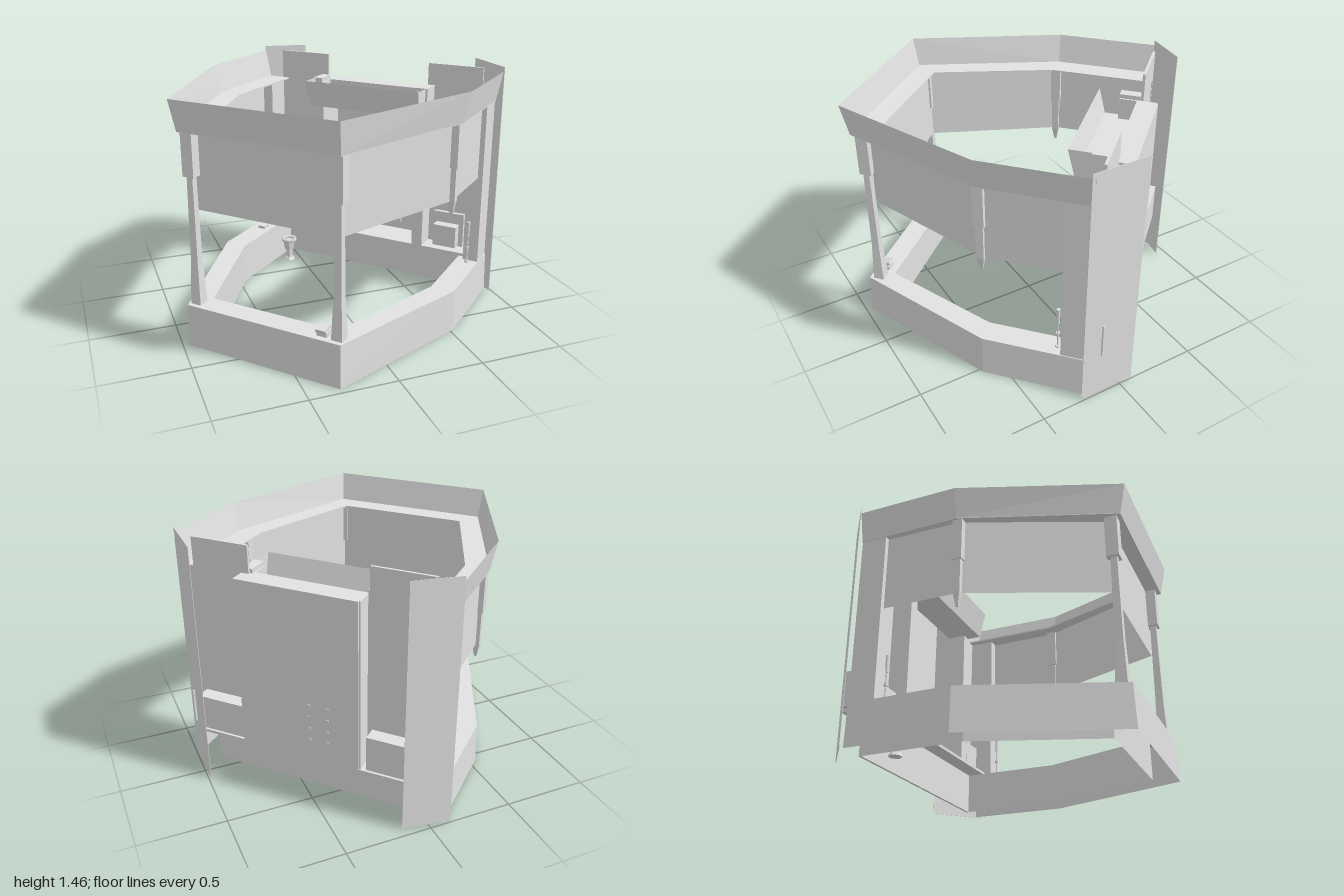
import * as THREE from 'three';

export function createModel() {
  const root = new THREE.Group();
  root.name = 'kiosk';
  // the kiosk is laid out facing local +z, then turned on the spot
  const kiosk = new THREE.Group();
  kiosk.name = 'kioskBody';
  kiosk.rotation.y = THREE.MathUtils.degToRad(-47.6);
  kiosk.position.set(0.01, 0, 0.011);
  root.add(kiosk);

  const paint = new THREE.MeshStandardMaterial({ color: 0xe2e2e2, side: THREE.DoubleSide });
  paint.name = 'paleGrey';

  const add = (name, geometry, x = 0, y = 0, z = 0, ry = 0) => {
    const mesh = new THREE.Mesh(geometry, paint);
    mesh.name = name;
    mesh.position.set(x, y, z);
    mesh.rotation.y = ry;
    kiosk.add(mesh);
    return mesh;
  };
  // box given by its limits on each axis
  const box = (name, x0, x1, y0, y1, z0, z1) =>
    add(name, new THREE.BoxGeometry(Math.abs(x1 - x0), y1 - y0, z1 - z0),
      (x0 + x1) / 2, (y0 + y1) / 2, (z0 + z1) / 2);
  // square or many-sided tapering column
  const column = (name, x, z, y0, y1, r0, r1, sides = 4) => {
    const g = new THREE.CylinderGeometry(r1, r0, y1 - y0, sides).toNonIndexed();
    g.rotateY(Math.PI / sides);
    g.computeVertexNormals();
    return add(name, g, x, (y0 + y1) / 2, z);
  };
  // half outline (front, middle, back) mirrored into a six point path
  const path = (half) => [
    ...[...half].reverse().map(([x, z]) => [-x, z]),
    ...half,
  ];
  const OUTER = path([[0.478, 0.875], [0.79, 0.03], [0.79, -0.575]]);
  const FOOT = path([[0.484, 0.885], [0.797, 0.03], [0.797, -0.575]]);
  const RIM = path([[0.492, 0.912], [0.826, 0.03], [0.826, -0.575]]);
  const INNER = path([[0.396, 0.743], [0.65, 0.035], [0.65, -0.575]]);
  const SCREEN = path([[0.43, 0.79], [0.748, 0.03], [0.755, -0.44]]);

  // flat horseshoe plate between the outer and inner paths
  const horseshoe = (name, y0, y1) => {
    const pts = [...OUTER, ...[...INNER].reverse()].map(([x, z]) => new THREE.Vector2(x, -z));
    const g = new THREE.ExtrudeGeometry(new THREE.Shape(pts), { depth: y1 - y0, bevelEnabled: false });
    g.rotateX(-Math.PI / 2);
    add(name, g, 0, y0, 0);
  };
  // open band of quads between a lower and an upper path
  const band = (name, low, high, y0, y1) => {
    const v = [];
    for (let i = 0; i + 1 < low.length; i++) {
      const a = [low[i][0], y0, low[i][1]], b = [low[i + 1][0], y0, low[i + 1][1]];
      const c = [high[i + 1][0], y1, high[i + 1][1]], d = [high[i][0], y1, high[i][1]];
      v.push(...a, ...b, ...c, ...a, ...c, ...d);
    }
    const g = new THREE.BufferGeometry();
    g.setAttribute('position', new THREE.Float32BufferAttribute(v, 3));
    g.computeVertexNormals();
    add(name, g);
  };
  // tall thin panel between two floor points
  const panel = (name, [x0, z0], [x1, z1]) =>
    add(name, new THREE.BoxGeometry(Math.hypot(x1 - x0, z1 - z0), 1.46, 0.003),
      (x0 + x1) / 2, 0.73, (z0 + z1) / 2, -Math.atan2(z1 - z0, x1 - x0));

  // hollow counter, open underneath
  horseshoe('counterTop', 0.24, 0.25);
  band('counterFront', FOOT, OUTER, 0, 0.25);
  band('counterInside', INNER, INNER, 0, 0.25);

  // canopy ring, flared fascia and hanging screen
  horseshoe('canopySoffit', 1.25, 1.26);
  band('fascia', OUTER, RIM, 1.255, 1.43);
  band('hangingScreen', SCREEN, SCREEN, 0.8, 1.25);

  for (const s of [-1, 1]) {
    // front corner posts with flared feet
    column('postHead', s * 0.44, 0.814, 1.0, 1.25, 0.05, 0.05);
    column('postShaft', s * 0.442, 0.816, 0.5, 1.0, 0.032, 0.026);
    column('postFoot', s * 0.442, 0.816, 0.25, 0.5, 0.046, 0.032);
    // short hanging posts at the middle corners
    column('dropHead', s * 0.748, 0.03, 1.0, 1.25, 0.042, 0.042);
    column('dropShaft', s * 0.748, 0.03, 0.8, 1.0, 0.029, 0.031);
    column('dropTip', s * 0.748, 0.03, 0.72, 0.8, 0.01, 0.029);

    // end pillars, rear wing walls and the pillars beside the recess
    box('endPillar', s * 0.69, s * 0.785, 0.25, 1.255, -0.575, -0.42);
    box('wingWall', s * 0.35, s * 0.7, 0.26, 1.44, -0.6, -0.585);
    box('recessPillar', s * 0.335, s * 0.395, 0.26, 1.305, -0.585, -0.46);
    box('recessSide', s * 0.325, s * 0.335, 0.26, 1.28, -0.68, -0.46);
    box('rearShelfBox', s * 0.37, s * 0.69, 0.28, 0.49, -0.685, -0.6);
    box('sideCabinet', s * 0.46, s * 0.61, 0.28, 0.42, -0.57, -0.49);
    box('cabinetBack', s * 0.44, s * 0.64, 0.27, 0.49, -0.58, -0.555);

    // slim taps standing on the counter ends
    column('tapBase', s * 0.725, -0.39, 0.25, 0.262, 0.016, 0.014, 8);
    column('tapRod', s * 0.725, -0.39, 0.26, 0.5, 0.005, 0.005, 8);
    column('tapCollar', s * 0.725, -0.39, 0.34, 0.355, 0.012, 0.012, 8);
    column('tapGrip', s * 0.725, -0.39, 0.42, 0.52, 0.008, 0.011, 8);
  }

  // angled full height end panels, one with a handle
  panel('endPanel', [0.835, -0.56], [0.585, -0.787]);
  panel('endPanel', [-0.83, -0.575], [-0.612, -0.745]);
  add('panelHandle', new THREE.BoxGeometry(0.01, 0.21, 0.012), 0.753, 0.385, -0.645,
    -Math.atan2(-0.227, -0.25));

  // rear plinth, floor ledge and central back panel
  box('rearPlinth', -0.65, 0.65, 0, 0.25, -0.575, -0.56);
  box('rearLedge', -0.69, 0.69, 0.25, 0.268, -0.685, -0.46);
  box('backPanel', -0.325, 0.395, 0.262, 1.28, -0.69, -0.675);
  box('recessTop', -0.335, 0.395, 1.27, 1.28, -0.68, -0.57);
  box('rearSeam', -0.655, -0.645, 0.55, 1.27, -0.605, -0.6);

  // trough above the serving recess
  box('troughFloor', -0.38, 0.38, 1.14, 1.15, -0.57, -0.372);
  box('troughBack', -0.385, 0.385, 1.14, 1.28, -0.575, -0.565);
  band('troughFront', [[-0.38, -0.372], [0.38, -0.372]], [[-0.385, -0.33], [0.385, -0.33]], 1.14, 1.305);
  for (const s of [-1, 1]) {
    const side = new THREE.Shape([[0.57, 0], [0.372, 0], [0.33, 0.165], [0.57, 0.165]]
      .map(([x, y]) => new THREE.Vector2(x, y)));
    const g = new THREE.ShapeGeometry(side);
    g.rotateY(Math.PI / 2);
    add('troughSide', g, s * 0.382, 1.14, 0);
  }

  // rows of small dispensers with fixing pegs through the back panel
  for (let row = 0; row < 4; row++) {
    const y = 0.39 + row * 0.073;
    box('dispenserPlate', -0.19, -0.01, y - 0.022, y + 0.022, -0.676, -0.668);
    for (const x of [-0.145, -0.035]) {
      box('peg', x - 0.008, x + 0.008, y - 0.008, y + 0.008, -0.694, -0.64);
      box('dispenserLip', x - 0.014, x + 0.014, y + 0.008, y + 0.02, -0.675, -0.635);
    }
  }

  // grinder: back rail, hopper and funnel
  box('grinderRail', 0.13, 0.165, 0.32, 0.69, -0.675, -0.655);
  box('grinderBody', 0.08, 0.18, 0.47, 0.57, -0.665, -0.61);
  column('grinderFunnel', 0.13, -0.637, 0.41, 0.47, 0.02, 0.05, 6);

  // small card reader and a flat tray on the counter
  box('cardReaderBase', 0.32, 0.38, 0.25, 0.275, 0.79, 0.84);
  const reader = box('cardReader', 0.315, 0.375, 0.275, 0.297, 0.785, 0.845);
  reader.rotation.x = 0.3;
  box('counterTray', -0.74, -0.69, 0.25, 0.268, -0.33, -0.27);

  // hexagonal stool inside the kiosk
  const stoolX = -0.57, stoolZ = -0.4;
  const seat = new THREE.TorusGeometry(0.045, 0.014, 4, 6);
  seat.rotateX(Math.PI / 2);
  add('stoolSeat', seat, stoolX, 0.15, stoolZ);
  column('stoolCup', stoolX, stoolZ, 0.08, 0.14, 0.034, 0.045, 6);
  column('stoolStem', stoolX, stoolZ, 0.02, 0.08, 0.024, 0.024, 6);
  column('stoolFoot', stoolX, stoolZ, 0, 0.02, 0.04, 0.03, 6);

  return root;
}
